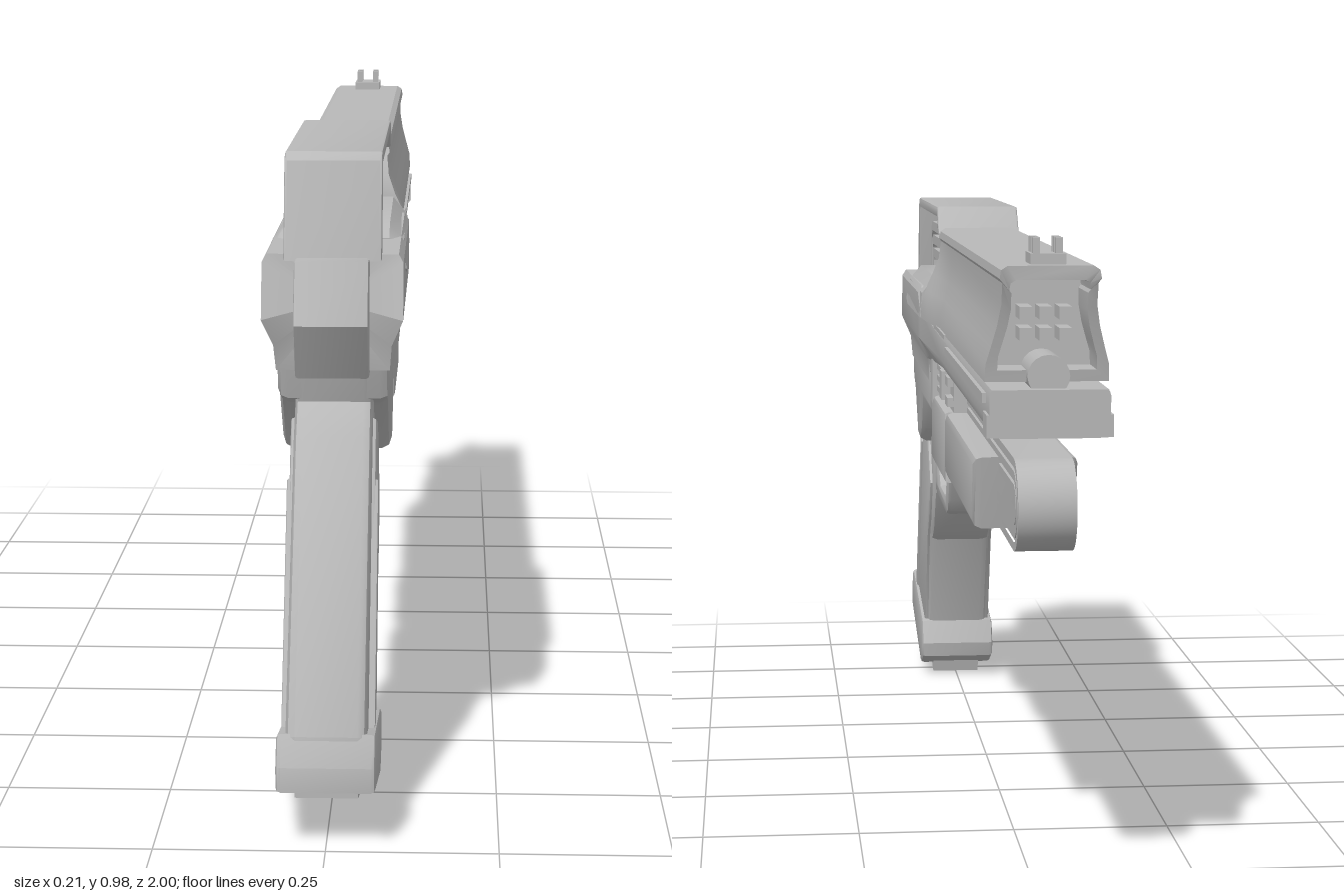
import * as THREE from 'three';
import { toCreasedNormals } from 'three/addons/utils/BufferGeometryUtils.js';

const grey = new THREE.MeshStandardMaterial({ color: 0xb8b8b8 });
grey.name = 'grey';

export function createModel() {
  const model = new THREE.Group();
  model.name = 'toyBlaster';

  const add = (name, geometry) => {
    const mesh = new THREE.Mesh(geometry, grey);
    mesh.name = name;
    model.add(mesh);
    return mesh;
  };
  const box = (name, w, h, d, x, y, z) => add(name, new THREE.BoxGeometry(w, h, d).translate(x, y, z));

  // Side outline in (z, y), extruded across x to a half width, with a bevel
  const toShape = (o) => (Array.isArray(o) ? new THREE.Shape(o.map(([z, y]) => new THREE.Vector2(z, y))) : o);
  const slab = (name, outline, half, bevel = 0, holes = []) => {
    const shape = toShape(outline);
    shape.holes.push(...holes.map(toShape));
    const g = new THREE.ExtrudeGeometry(shape, {
      depth: 2 * (half - bevel), bevelEnabled: bevel > 0, bevelThickness: bevel,
      bevelSize: bevel, bevelOffset: -bevel, bevelSegments: 2, curveSegments: 10,
    });
    g.translate(0, 0, bevel - half).rotateY(-Math.PI / 2);
    return add(name, toCreasedNormals(g, 0.6));
  };

  // Skin over mirrored half sections [x, y] (top to bottom), running towards -z
  const loft = (name, sections) => {
    const rings = sections.map(({ pts, z }) => {
      const full = [...pts, ...pts.slice().reverse().map(([x, y]) => [-x, y])];
      return full.map(([x, y]) => [x, y, typeof z === 'function' ? z(y) : z]);
    });
    const n = rings[0].length;
    const pos = [];
    const tri = (a, b, c) => pos.push(...a, ...b, ...c);
    for (let i = 0; i < rings.length - 1; i++) {
      for (let j = 0; j < n; j++) {
        const k = (j + 1) % n;
        const [a, b, c, d] = [rings[i][j], rings[i][k], rings[i + 1][k], rings[i + 1][j]];
        tri(a, b, c);
        tri(a, c, d);
      }
    }
    const mid = (r) => [0, 1, 2].map((q) => r.reduce((s, p) => s + p[q], 0) / n);
    const first = rings[0], last = rings[rings.length - 1];
    for (let j = 0; j < n; j++) {
      const k = (j + 1) % n;
      tri(mid(first), first[k], first[j]);
      tri(mid(last), last[j], last[k]);
    }
    const g = new THREE.BufferGeometry();
    g.setAttribute('position', new THREE.Float32BufferAttribute(pos, 3));
    g.computeVertexNormals();
    return add(name, toCreasedNormals(g, 0.5));
  };

  // Upper barrel shroud, flaring towards the rear, hollow at the muzzle
  const shroud = (flare) => [[0.06, 0.94], [0.069, 0.934], [0.071, 0.922], [0.067, 0.916], [0.067, 0.885],
    [0.072, 0.855], [0.08, 0.825], [0.087, 0.8], [0.088, 0.775]]
    .map(([x, y]) => [x + flare * 0.016 * Math.min(1, Math.max(0, (0.9 - y) / 0.08)), y]);
  const inner = shroud(0).map(([x, y]) => [x * 0.8, 0.85 + (y - 0.85) * 0.78]);
  const muzzleZ = (y) => -1 + 0.045 * Math.pow(Math.min(1, Math.max(0, (0.92 - y) / 0.14)), 0.7);
  loft('barrelShroud', [
    { pts: shroud(1), z: (y) => 0.165 + 0.035 * Math.min(1, Math.max(0, (0.94 - y) / 0.08)) },
    { pts: shroud(0.7), z: 0.1 },
    { pts: shroud(0.3), z: 0.02 },
    { pts: shroud(0), z: -0.08 },
    { pts: shroud(0), z: muzzleZ },
    { pts: inner, z: muzzleZ },
    { pts: inner, z: -0.88 },
  ]);

  // Receiver and the lower barrel body in one run
  const rear = [[0.07, 0.83], [0.098, 0.83], [0.105, 0.818], [0.105, 0.735], [0.088, 0.695], [0.085, 0.655]];
  const neck = [[0.07, 0.8], [0.098, 0.8], [0.104, 0.79], [0.104, 0.735], [0.087, 0.705], [0.08, 0.695]];
  const fore = [[0.07, 0.768], [0.082, 0.768], [0.085, 0.76], [0.085, 0.722], [0.08, 0.706], [0.07, 0.7]];
  loft('receiver', [
    { pts: rear, z: (y) => 0.77 - 0.38 * Math.abs(y - 0.745) },
    { pts: rear, z: 0.25 },
    { pts: neck, z: 0.2 },
    { pts: fore, z: -0.06 },
    { pts: fore, z: -1 },
  ]);
  loft('receiverShelf', [
    { pts: [[0.05, 0.832], [0.08, 0.832], [0.1, 0.82], [0.107, 0.785]], z: 0.575 },
    { pts: [[0.05, 0.85], [0.08, 0.85], [0.102, 0.825], [0.107, 0.775]], z: 0.54 },
    { pts: [[0.05, 0.85], [0.078, 0.85], [0.101, 0.82], [0.105, 0.775]], z: 0.19 },
  ]);
  slab('rearBlock', [[0.78, 0.825], [0.82, 0.735], [0.765, 0.648], [0.7, 0.648], [0.7, 0.825]], 0.055, 0.004);

  // Side rails and muzzle lip
  for (const s of [1, -1]) {
    box('upperRail', 0.01, 0.008, 0.26, s * 0.086, 0.774, -0.09);
    box('lowerRail', 0.01, 0.014, 0.72, s * 0.086, 0.752, -0.59);
  }
  box('muzzleLip', 0.178, 0.032, 0.06, 0, 0.717, -0.97);
  add('barrelTube', new THREE.CylinderGeometry(0.03, 0.03, 0.13, 20).rotateX(Math.PI / 2).translate(0, 0.785, -0.915));
  for (const x of [-0.028, 0, 0.028]) {
    for (const y of [0.84, 0.87]) box('muzzleStud', 0.018, 0.018, 0.06, x, y, -0.91);
  }

  // Front sight with three prongs
  box('sightBase', 0.05, 0.016, 0.07, 0, 0.947, -0.935);
  for (const z of [-0.912, -0.935, -0.958]) {
    for (const s of [1, -1]) box('sightProng', 0.01, 0.024, 0.01, s * 0.016, 0.965, z);
  }

  // Top bridge over the rear opening
  slab('topBridge', [[0.745, 0.82], [0.705, 0.965], [0.69, 0.977], [0.19, 0.977], [0.15, 0.93], [0.17, 0.93],
    [0.195, 0.958], [0.684, 0.958], [0.715, 0.82]], 0.073, 0.004);

  // Nested bent bars under the bridge
  const bentBar = (o, t) => {
    const zr = 0.68 - o, yt = 0.932 - o, r = 0.045 - o * 0.4;
    const s = new THREE.Shape();
    s.moveTo(zr, 0.82).lineTo(zr, yt - r).quadraticCurveTo(zr, yt, zr - r, yt).lineTo(0.16, yt);
    s.lineTo(0.16, yt - t).lineTo(zr - r, yt - t).quadraticCurveTo(zr - t, yt - t, zr - t, yt - r).lineTo(zr - t, 0.82);
    return s;
  };
  for (let i = 0; i < 3; i++) slab('bentBar', bentBar(i * 0.026, 0.018), 0.05);
  slab('bentBarCore', bentBar(0.004, 0.085), 0.036);

  // Long slotted loop below the barrel, with raised concentric bands
  const stadium = (r) => {
    const s = new THREE.Shape();
    s.moveTo(0.1, 0.594 - r).lineTo(-0.908, 0.594 - r);
    s.absarc(-0.908, 0.594, r, -Math.PI / 2, -Math.PI * 1.5, true);
    s.lineTo(0.1, 0.594 + r);
    return s;
  };
  slab('loopCore', stadium(0.062), 0.034, 0, [slot(0.014)]);
  [0.067, 0.048, 0.029].forEach((r) => slab('loopBand', stadium(r), 0.042, 0, [slot(r - 0.013)]));
  function slot(r) {
    const s = new THREE.Path();
    s.moveTo(0.08, 0.594 - r).lineTo(-0.908, 0.594 - r);
    s.absarc(-0.908, 0.594, r, -Math.PI / 2, -Math.PI * 1.5, true);
    s.lineTo(0.08, 0.594 + r).closePath();
    return s;
  }

  // Forestock under the loop and its rear block
  slab('forestock', [[-0.08, 0.632], [-0.68, 0.632], [-0.648, 0.518], [-0.08, 0.518]], 0.08, 0.014);
  slab('forestockRear', [[0.22, 0.632], [-0.09, 0.632], [-0.1, 0.51], [0.22, 0.51]], 0.082, 0.008);

  // Side port with bars and a button
  box('portCore', 0.13, 0.1, 0.3, 0, 0.665, 0.05);
  box('portRearWall', 0.166, 0.09, 0.04, 0, 0.665, 0.2);
  for (const s of [1, -1]) {
    for (const y of [0.648, 0.668, 0.688]) box('portBar', 0.016, 0.01, 0.11, s * 0.067, y, 0.115);
    box('portButton', 0.03, 0.05, 0.05, s * 0.066, 0.672, 0.0);
    for (const y of [0.65, 0.685]) box('portRib', 0.02, 0.016, 0.06, s * 0.066, y, -0.065);
  }

  // Frame, trigger guard and trigger
  slab('frame', [[0.73, 0.7], [0.715, 0.65], [0.7, 0.605], [0.655, 0.59], [0.57, 0.5], [0.52, 0.53], [0.48, 0.595],
    [0.22, 0.595], [0.22, 0.7]], 0.085, 0.016);
  slab('triggerGuard', [[0.6, 0.64], [0.2, 0.64], [0.2, 0.52], [0.155, 0.512], [0.195, 0.435], [0.215, 0.412],
    [0.245, 0.402], [0.48, 0.402], [0.53, 0.42], [0.6, 0.4]], 0.055, 0.008,
  [[[0.46, 0.592], [0.24, 0.592], [0.226, 0.575], [0.226, 0.465], [0.25, 0.434], [0.4, 0.434], [0.43, 0.46], [0.485, 0.53]]]);
  slab('trigger', [[0.49, 0.6], [0.41, 0.6], [0.432, 0.56], [0.432, 0.48], [0.425, 0.45], [0.45, 0.46], [0.49, 0.53]], 0.028, 0.006);

  // Grip, side panels and flared base
  slab('grip', [[0.72, 0.66], [0.7, 0.6], [0.745, 0.555], [0.98, 0.165], [0.98, 0.11], [0.69, 0.06], [0.678, 0.113],
    [0.6, 0.295], [0.55, 0.322], [0.49, 0.405], [0.5, 0.62]], 0.059, 0.014);
  slab('gripPanel', [[0.7, 0.575], [0.64, 0.56], [0.53, 0.42], [0.57, 0.345], [0.615, 0.3], [0.695, 0.1],
    [0.9, 0.15], [0.74, 0.5]], 0.065, 0.005);
  slab('gripRidge', [[0.742, 0.49], [0.728, 0.478], [0.88, 0.15], [0.905, 0.155]], 0.069, 0.003);
  slab('gripBase', [[0.975, 0.168], [1, 0.125], [1, 0.088], [0.72, 0.018], [0.663, 0.042], [0.657, 0.07],
    [0.678, 0.113]], 0.072, 0.007);
  slab('basePlate', [[0.965, 0.1], [0.965, 0.068], [0.715, 0], [0.705, 0.04]], 0.046);

  return model;
}
